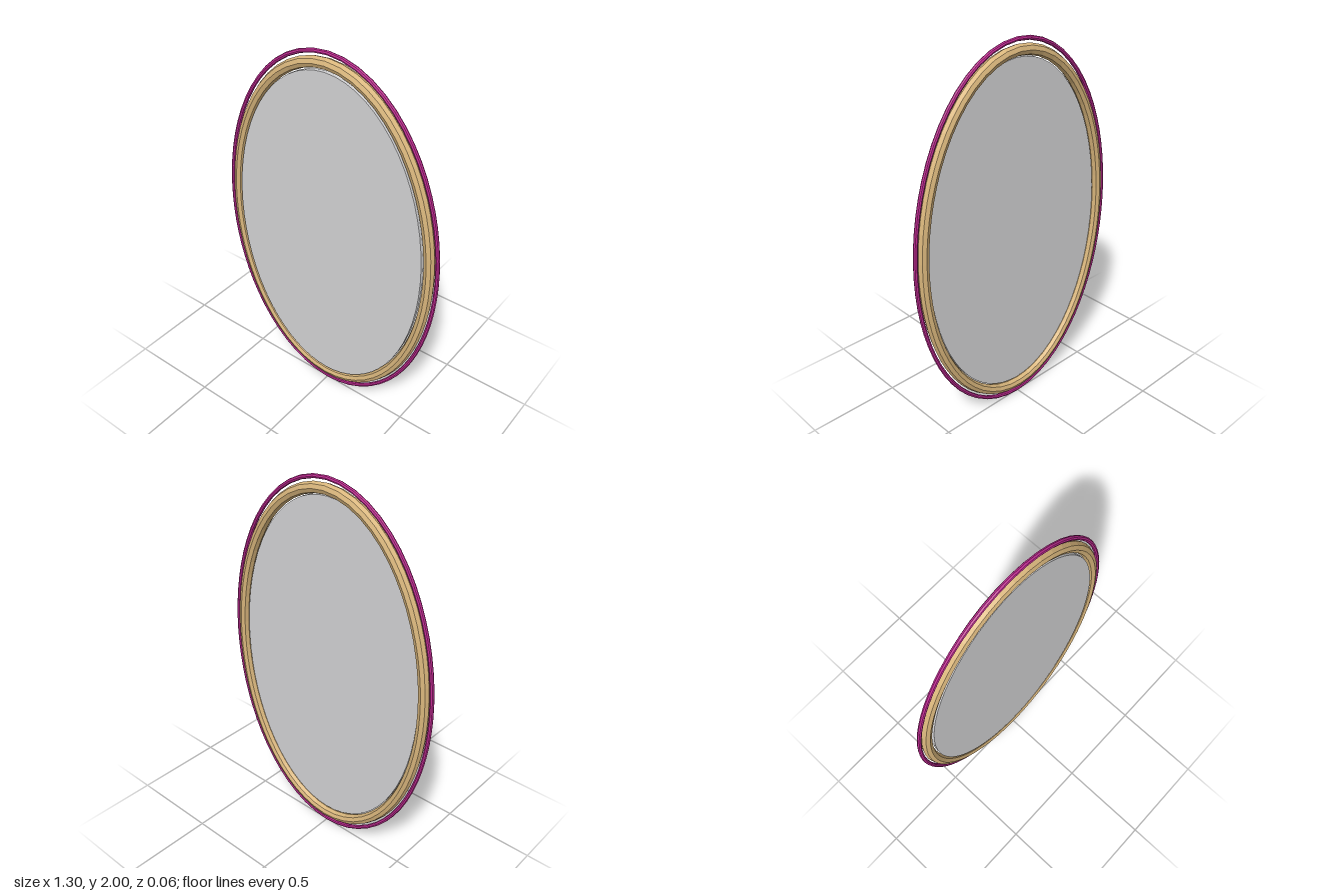
import * as THREE from 'three';

// Ellipse in the xy plane, used as the centre line of a ring
class EllipsePath extends THREE.Curve {
  constructor(rx, ry) {
    super();
    this.rx = rx;
    this.ry = ry;
  }
  getPoint(t, target = new THREE.Vector3()) {
    const a = t * Math.PI * 2;
    return target.set(this.rx * Math.cos(a), this.ry * Math.sin(a), 0);
  }
}

export function createModel() {
  const paint = (name, color) => {
    const material = new THREE.MeshStandardMaterial({ color, flatShading: true });
    material.name = name;
    return material;
  };
  const gold = paint('gold', 0xd9b67c);
  const magenta = paint('magenta', 0xc02a92);
  const glass = paint('mirrorGrey', 0xd4d4d6);

  const model = new THREE.Group();
  model.name = 'ovalMirror';

  const add = (name, geometry, material) => {
    const mesh = new THREE.Mesh(geometry, material);
    mesh.name = name;
    mesh.position.y = 1;
    model.add(mesh);
    return mesh;
  };
  const ring = (rx, ry, radius, sides) =>
    new THREE.TubeGeometry(new EllipsePath(rx, ry), 64, radius, sides, true);

  // Thick frame and the thin trim around it
  add('frame', ring(0.594, 0.938, 0.028, 8), gold);
  add('outerTrim', ring(0.638, 0.989, 0.011, 8), magenta);

  // Oval plate, set slightly towards the front of the frame
  const plate = new THREE.CylinderGeometry(1, 1, 0.02, 64);
  plate.rotateX(Math.PI / 2);
  plate.scale(0.562, 0.905, 1);
  add('mirrorPlate', plate, glass).position.z = 0.01;

  return model;
}
